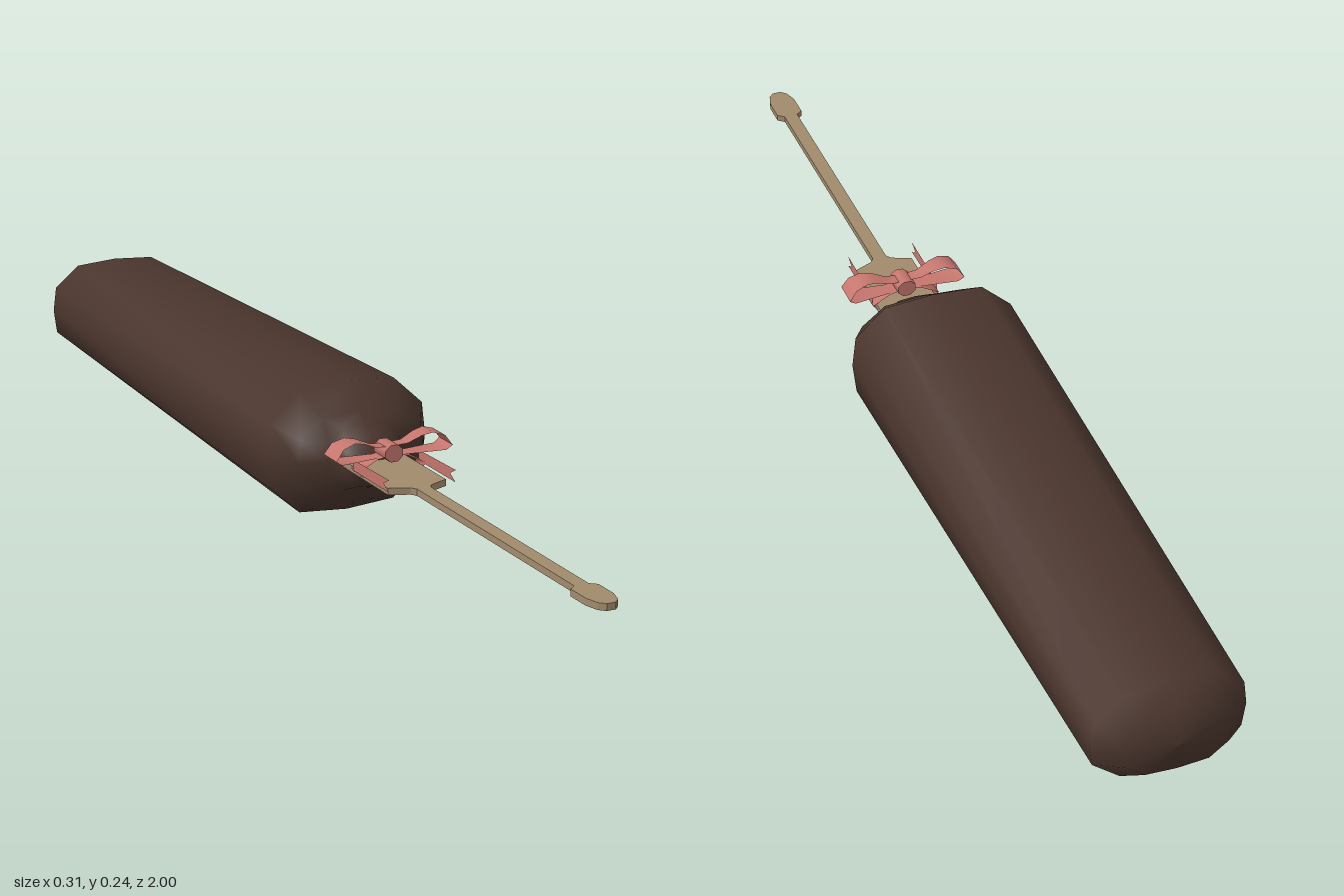
import * as THREE from 'three';

const brown = new THREE.MeshStandardMaterial({ name: 'chocolate', color: 0x4a352d });
const wood = new THREE.MeshStandardMaterial({ name: 'wood', color: 0xa08a6c });
const pink = new THREE.MeshStandardMaterial({ name: 'pinkRibbon', color: 0xc4756d, side: THREE.DoubleSide });
const MID = 0.12;

function add(group, name, geometry, material) {
  const mesh = new THREE.Mesh(geometry, material);
  mesh.name = name;
  group.add(mesh);
  return mesh;
}

// Skin over twelve-sided sections [z, halfWidth, halfHeight]
function loft(sections) {
  const q = [[1, 0], [0.955, 0.5], [0.595, 0.94], [0, 1]];
  const ring = [
    ...q, ...[2, 1, 0].map(i => [-q[i][0], q[i][1]]),
    ...[1, 2, 3].map(i => [-q[i][0], -q[i][1]]), ...[2, 1].map(i => [q[i][0], -q[i][1]]),
  ];
  const n = ring.length, pos = [], index = [];
  for (const [z, w, h] of sections) for (const [x, y] of ring) pos.push(x * w, MID + y * h, z);
  for (let i = 0; i < sections.length - 1; i++) {
    for (let j = 0; j < n; j++) {
      const k = (j + 1) % n, a = i * n + j, b = i * n + k;
      index.push(a, b, b + n, a, b + n, a + n);
    }
  }
  const g = new THREE.BufferGeometry();
  g.setAttribute('position', new THREE.Float32BufferAttribute(pos, 3));
  g.setIndex(index);
  g.computeVertexNormals();
  return g;
}

// Thin ribbon through [x, y, halfWidth] points, its width running along z
function ribbon(points, z) {
  const g = new THREE.PlaneGeometry(1, 1, points.length - 1, 1);
  const p = g.attributes.position;
  for (let i = 0; i < p.count; i++) {
    const [x, y, w] = points[i % points.length];
    p.setXYZ(i, x, y, z + (i < points.length ? -w : w));
  }
  g.computeVertexNormals();
  return g;
}

export function createModel() {
  const model = new THREE.Group();
  model.name = 'wrappedBar';

  // Long rounded body tapering to the back, with a gathered neck in front
  add(model, 'body', loft([
    [-1, 0.0001, 0.0001], [-0.99, 0.092, 0.06], [-0.95, 0.134, 0.092],
    [0.1, 0.155, 0.118], [0.155, 0.122, 0.078], [0.17, 0.072, 0.06],
    [0.2, 0.053, 0.046], [0.222, 0.028, 0.014], [0.222, 0.0001, 0.0001],
  ]), brown);

  // Flat stick: wide plate, slim rod and rounded tip
  const half = [[0.055, 0.19], [0.055, 0.365], [0.02, 0.38], [0.013, 0.39],
    [0.013, 0.91], [0.025, 0.92], [0.025, 0.965], [0.018, 0.99], [0.008, 1]];
  const outline = [...half, ...half.slice().reverse().map(([x, z]) => [-x, z])];
  const shape = new THREE.Shape(outline.map(([x, z]) => new THREE.Vector2(x, z)));
  const stick = new THREE.ExtrudeGeometry(shape, { depth: 0.012, bevelEnabled: false });
  stick.rotateX(Math.PI / 2);
  add(model, 'stick', stick, wood).position.y = 0.128;

  // Ribbon tied around the stick
  const bow = new THREE.Group();
  bow.name = 'bow';
  model.add(bow);
  const band = [[0, 0.153], [0.03, 0.148], [0.064, 0.13], [0.05, 0.113], [0.025, 0.106], [0, 0.104]];
  for (const s of [1, -1]) {
    const flip = pts => pts.map(([x, y, w = 0.016]) => [x * s, y, w]);
    add(bow, 'band', ribbon(flip(band), 0.26), pink);
    add(bow, 'loopTop', ribbon(flip([[0.012, 0.168, 0.012], [0.03, 0.169, 0.013],
      [0.055, 0.18, 0.017], [0.075, 0.184, 0.02], [0.097, 0.177, 0.023], [0.111, 0.158, 0.025]]), 0.26), pink);
    add(bow, 'loopBottom', ribbon(flip([[0.012, 0.15, 0.012], [0.06, 0.15, 0.018],
      [0.1, 0.15, 0.023], [0.111, 0.158, 0.025]]), 0.26), pink);

    // Tails hanging forward beside the stick, with notched ends
    const tail = new THREE.Shape([[0.25, 0.127], [0.385, 0.127], [0.365, 0.138], [0.385, 0.149], [0.25, 0.146]]
      .map(([z, y]) => new THREE.Vector2(-z, y)));
    const tailMesh = add(bow, 'tail', new THREE.ShapeGeometry(tail).rotateY(Math.PI / 2), pink);
    tailMesh.position.x = s * 0.063;
  }
  const knot = new THREE.CylinderGeometry(0.018, 0.018, 0.036, 8);
  knot.rotateX(Math.PI / 2).rotateZ(Math.PI / 8).scale(1, 0.9, 1.2);
  add(bow, 'knot', knot, pink).position.set(0, 0.157, 0.26);
  return model;
}
